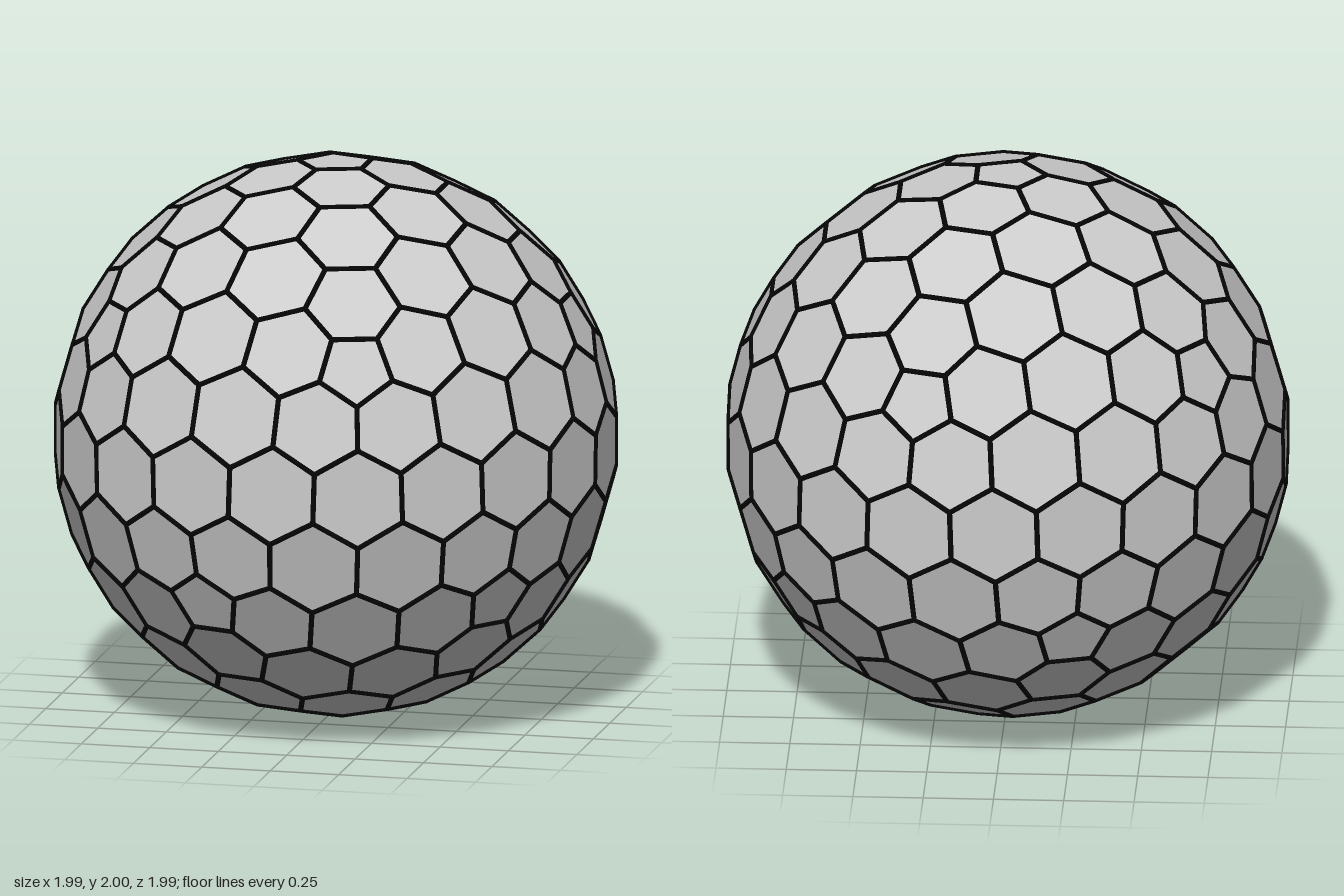
import * as THREE from 'three';
import { mergeGeometries } from 'three/addons/utils/BufferGeometryUtils.js';

const SEAM = 0.0095; // seam radius

// Icosahedron standing on a corner, split into 4 along each edge
function geodesicSphere() {
  const pts = [0, 1, 0];
  const ring = (y, offset) => {
    const r = Math.sqrt(1 - y * y);
    for (let k = 0; k < 5; k++) {
      const a = offset + k * Math.PI * 2 / 5;
      pts.push(r * Math.cos(a), y, r * Math.sin(a));
    }
  };
  ring(1 / Math.sqrt(5), 0);
  ring(-1 / Math.sqrt(5), Math.PI / 5);
  pts.push(0, -1, 0);
  const tris = [];
  for (let k = 0; k < 5; k++) {
    const n = (k + 1) % 5;
    tris.push(0, 1 + n, 1 + k, 1 + k, 1 + n, 6 + k, 6 + k, 1 + n, 6 + n, 11, 6 + k, 6 + n);
  }
  return new THREE.PolyhedronGeometry(pts, tris, 1, 3);
}

// Dual of the geodesic sphere: one panel per vertex, one corner per triangle
function buildPanels() {
  const pos = geodesicSphere().attributes.position;
  const corners = [];
  const panels = new Map();
  for (let i = 0; i < pos.count; i += 3) {
    const tri = [0, 1, 2].map(j => new THREE.Vector3().fromBufferAttribute(pos, i + j));
    const id = corners.length;
    corners.push(new THREE.Vector3().add(tri[0]).add(tri[1]).add(tri[2]).normalize());
    for (const p of tri) {
      const key = p.toArray().map(c => Math.round(c * 1000)).join();
      if (!panels.has(key)) panels.set(key, { normal: p.clone().normalize(), ring: [] });
      panels.get(key).ring.push(id);
    }
  }
  // Order each panel's corners anticlockwise as seen from outside
  for (const { normal, ring } of panels.values()) {
    const u = corners[ring[0]].clone().projectOnPlane(normal).normalize();
    const v = normal.clone().cross(u);
    const angle = id => Math.atan2(corners[id].dot(v), corners[id].dot(u));
    ring.sort((a, b) => angle(a) - angle(b));
  }
  return { corners, panels: [...panels.values()] };
}

export function createModel() {
  const { corners, panels } = buildPanels();
  const group = new THREE.Group();
  group.name = 'panelledBall';

  // Flat pentagon and hexagon panels, collecting the shared edges
  const position = [], normals = [];
  const edges = new Map();
  for (const { normal, ring } of panels) {
    const centre = new THREE.Vector3();
    ring.forEach(id => centre.addScaledVector(corners[id], 1 / ring.length));
    ring.forEach((id, i) => {
      const next = ring[(i + 1) % ring.length];
      for (const p of [centre, corners[id], corners[next]]) {
        position.push(p.x, p.y, p.z);
        normals.push(normal.x, normal.y, normal.z);
      }
      edges.set(Math.min(id, next) + '_' + Math.max(id, next), [corners[id], corners[next]]);
    });
  }
  const shell = new THREE.BufferGeometry();
  shell.setAttribute('position', new THREE.Float32BufferAttribute(position, 3));
  shell.setAttribute('normal', new THREE.Float32BufferAttribute(normals, 3));
  const panelMesh = new THREE.Mesh(shell, new THREE.MeshStandardMaterial({ color: 0xcccccc }));
  panelMesh.name = 'panels';

  // Dark rods along every edge, with round joints at the corners
  const up = new THREE.Vector3(0, 1, 0);
  const parts = [];
  for (const [a, b] of edges.values()) {
    const dir = b.clone().sub(a);
    const rod = new THREE.CylinderGeometry(SEAM, SEAM, dir.length(), 8, 1, true);
    rod.applyQuaternion(new THREE.Quaternion().setFromUnitVectors(up, dir.normalize()));
    const mid = a.clone().add(b).multiplyScalar(0.5);
    parts.push(rod.translate(mid.x, mid.y, mid.z));
  }
  for (const c of corners) {
    parts.push(new THREE.SphereGeometry(SEAM, 8, 6).translate(c.x, c.y, c.z));
  }
  const seams = new THREE.Mesh(mergeGeometries(parts), new THREE.MeshStandardMaterial({ color: 0x050505 }));
  seams.name = 'seams';

  group.add(panelMesh, seams);
  group.children.forEach(m => { m.position.y = 1; });
  return group;
}
